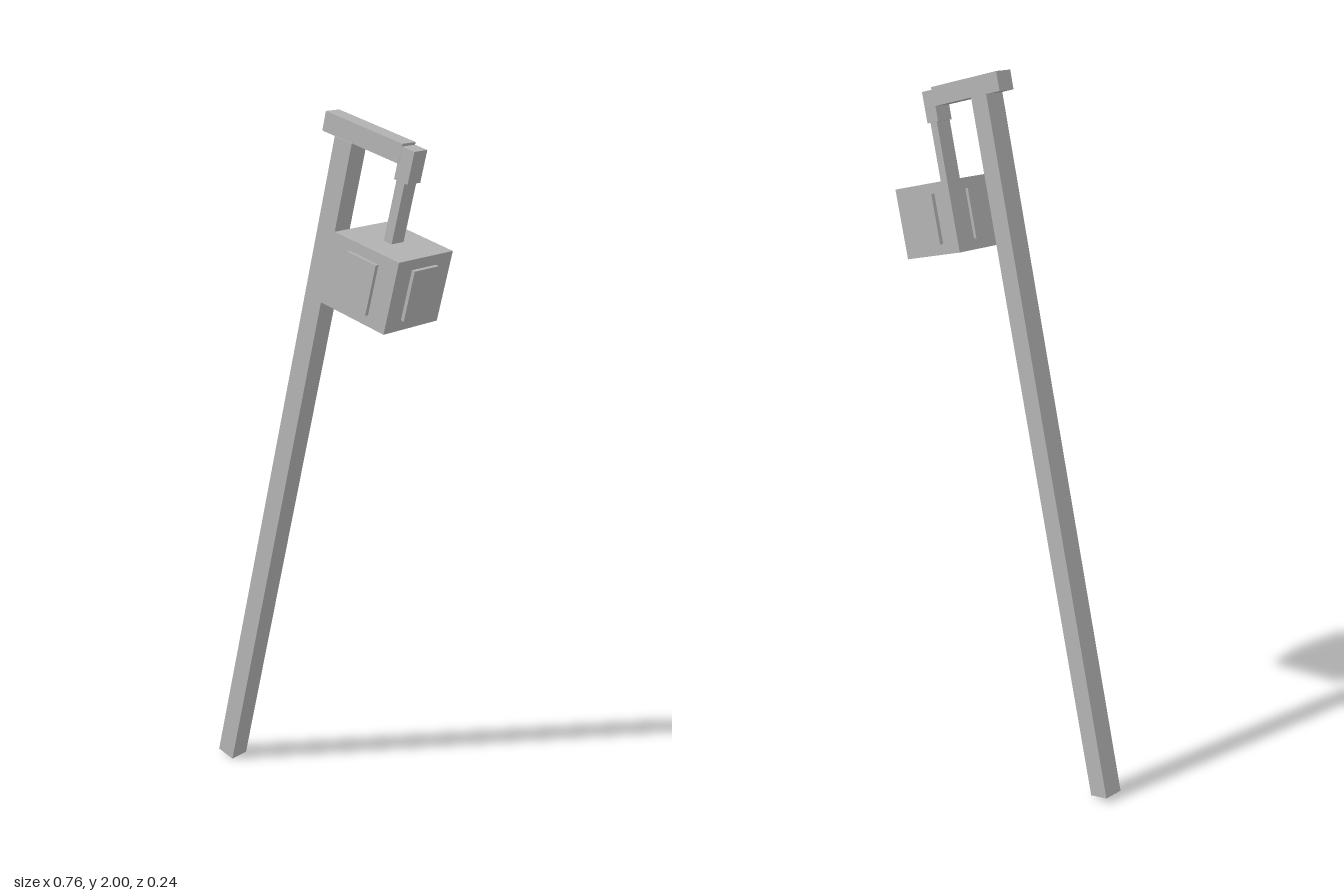
import * as THREE from 'three';

const TILT = 0.2414; // lean of the whole post toward +x

export function createModel() {
  const model = new THREE.Group();
  model.name = 'leaningLampPost';
  const grey = new THREE.MeshStandardMaterial({ color: 0xb6b6b6 });
  grey.name = 'grey';

  // Everything is laid out upright from the foot of the post, then tilted
  const post = new THREE.Group();
  post.name = 'lampPost';
  post.position.set(-0.352, 0.007, 0);
  post.rotation.z = -TILT;
  model.add(post);

  // Box given by its left/right, bottom/top and depth
  const addBox = (name, x0, x1, y0, y1, depth, parent = post) => {
    const mesh = new THREE.Mesh(new THREE.BoxGeometry(x1 - x0, y1 - y0, depth), grey);
    mesh.position.set((x0 + x1) / 2, (y0 + y1) / 2, 0);
    mesh.name = name;
    parent.add(mesh);
    return mesh;
  };

  addBox('pole', -0.03, 0.03, 0, 1.982, 0.06);
  addBox('arm', -0.078, 0.186, 1.981, 2.033, 0.052);
  addBox('armEndBracket', 0.182, 0.227, 1.94, 2.026, 0.051);
  addBox('hangerBar', 0.189, 0.216, 1.77, 1.945, 0.048);

  // Lantern box with a raised pane on each of its four sides
  const lantern = new THREE.Group();
  lantern.name = 'lantern';
  lantern.position.set(0.2035, 1.679, 0);
  post.add(lantern);
  addBox('lanternBody', -0.11, 0.11, -0.098, 0.098, 0.218, lantern);
  for (let i = 0; i < 4; i++) {
    const side = new THREE.Group();
    side.name = 'lanternSide';
    side.rotation.y = (i * Math.PI) / 2;
    addBox('pane', -0.049, 0.049, -0.069, 0.069, 0.022, side).position.z = 0.109;
    lantern.add(side);
  }
  return model;
}
